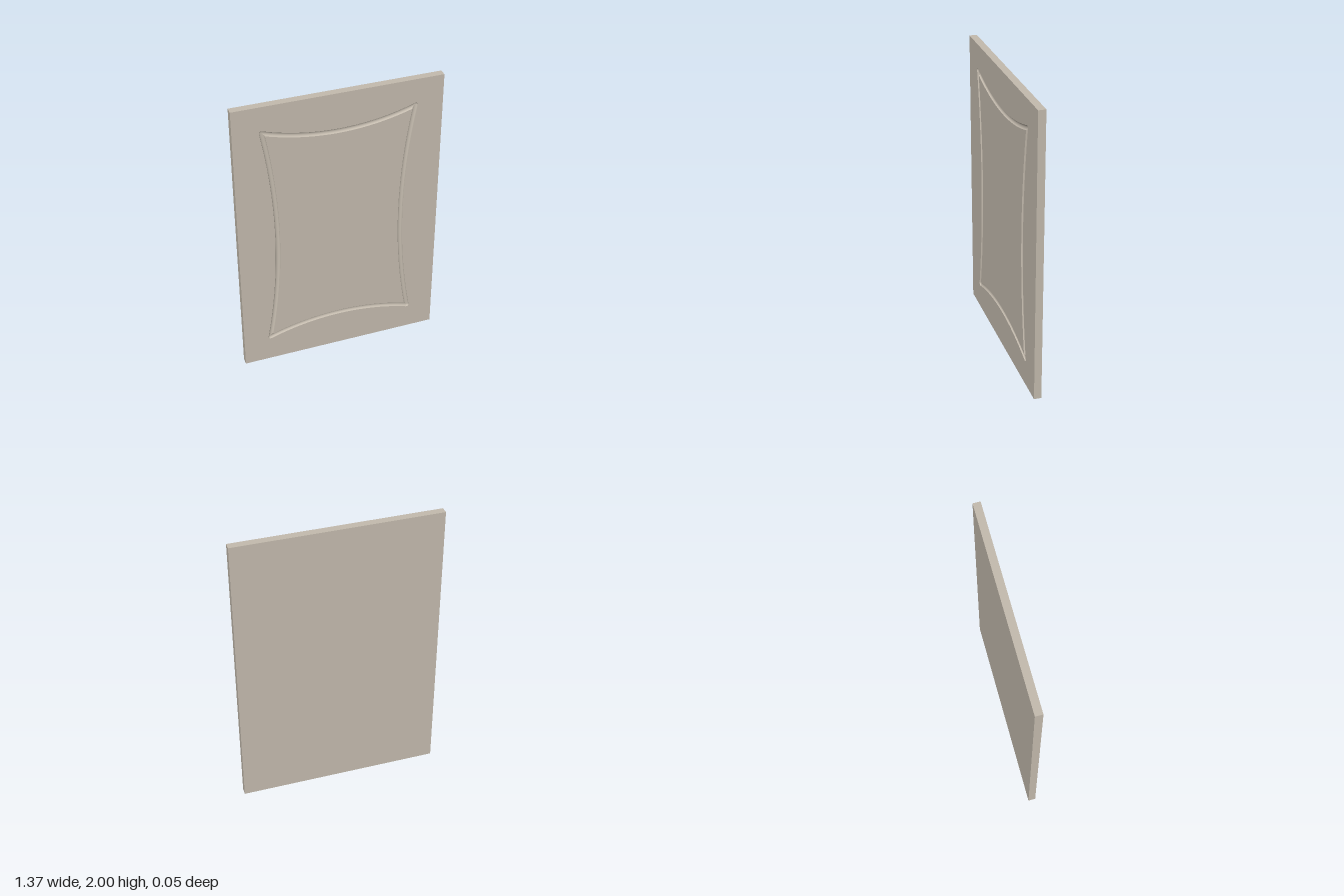
import * as THREE from 'three';

const HALF_W = 0.685, HEIGHT = 2, HALF_T = 0.025; // slab
const CENTRE_Y = 1.005;                           // middle of the groove outline
const CORNER = new THREE.Vector2(0.5, 0.813);     // groove centreline corner
const MID_X = 0.424, MID_Y = 0.731;               // groove centreline at mid sides
const GROOVE_R = 0.016, GROOVE_DEPTH = 0.011;

// Circle radius of an arc from its half chord and sagitta
const arcRadius = (half, sag) => (half * half + sag * sag) / (2 * sag);
const R_TOP = arcRadius(CORNER.x, CORNER.y - MID_Y);
const R_SIDE = arcRadius(CORNER.y, CORNER.x - MID_X);
const TOP = new THREE.Vector2(0, MID_Y + R_TOP);
const SIDE = new THREE.Vector2(MID_X + R_SIDE, 0);

// Where the two offset arcs meet
function mitre(r1, r2) {
  const u = SIDE.clone().sub(TOP), dist = u.length();
  u.divideScalar(dist);
  const h = (r1 * r1 - r2 * r2 + dist * dist) / (2 * dist);
  const k = Math.sqrt(r1 * r1 - h * h);
  return new THREE.Vector2(TOP.x + u.x * h + u.y * k, TOP.y + u.y * h - u.x * k);
}

// Quarter outline offset outward by d: top arc, corner (round outside, sharp inside), side arc
function quarter(d) {
  const r1 = R_TOP - d, r2 = R_SIDE - d, n = 24, joins = 8, pts = [];
  const m = d > 0 ? CORNER : mitre(r1, r2);
  const a = Math.atan2(m.x - TOP.x, TOP.y - m.y);
  const b = Math.atan2(m.y - SIDE.y, SIDE.x - m.x);
  for (let i = 0; i <= n; i++) {
    const t = a * i / n;
    pts.push(new THREE.Vector2(TOP.x + r1 * Math.sin(t), TOP.y - r1 * Math.cos(t)));
  }
  for (let i = 1; i < joins; i++) {
    const t = THREE.MathUtils.lerp(Math.PI / 2 + a, -b, i / joins), r = Math.max(d, 0);
    pts.push(new THREE.Vector2(m.x + r * Math.cos(t), m.y + r * Math.sin(t)));
  }
  for (let i = n; i >= 0; i--) {
    const t = b * i / n;
    pts.push(new THREE.Vector2(SIDE.x - r2 * Math.cos(t), SIDE.y + r2 * Math.sin(t)));
  }
  return pts;
}

// Full closed outline by mirroring the quarter
function outline(d) {
  const q = quarter(d);
  const part = (sx, sy) => {
    const p = q.map(v => new THREE.Vector2(v.x * sx, v.y * sy + CENTRE_Y));
    if (sx * sy < 0) p.reverse();
    return p.slice(0, -1);
  };
  return [...part(1, 1), ...part(1, -1), ...part(-1, -1), ...part(-1, 1)];
}

// Rounded channel: offset outlines lofted from the outer lip to the inner lip
function grooveGeometry() {
  const rows = 10, pos = [], index = [];
  let n = 0;
  for (let j = 0; j <= rows; j++) {
    const t = Math.PI * j / rows;
    const d = j * 2 === rows ? 0 : GROOVE_R * Math.cos(t);
    const loop = outline(d);
    n = loop.length;
    for (const p of loop) pos.push(p.x, p.y, HALF_T - GROOVE_DEPTH * Math.sin(t));
  }
  for (let j = 0; j < rows; j++) {
    for (let i = 0; i < n; i++) {
      const k = (i + 1) % n, a = j * n + i, b = j * n + k, c = a + n, e = b + n - 0;
      index.push(a, c, b, b, c, e);
    }
  }
  const g = new THREE.BufferGeometry();
  g.setAttribute('position', new THREE.Float32BufferAttribute(pos, 3));
  g.setIndex(index);
  g.computeVertexNormals();
  return g;
}

export function createModel() {
  const group = new THREE.Group();
  group.name = 'doorPanel';
  const material = new THREE.MeshStandardMaterial({ color: 0xc4bbae });
  const add = (name, geometry) => {
    const mesh = new THREE.Mesh(geometry, material);
    mesh.name = name;
    group.add(mesh);
    return mesh;
  };

  // Slab back and edges: a box without its front face
  const box = new THREE.BoxGeometry(HALF_W * 2, HEIGHT, HALF_T * 2);
  const faces = Array.from(box.index.array).filter((_, i) => i < 24 || i >= 30);
  box.clearGroups();
  box.setIndex(faces);
  add('slab', box).position.y = HEIGHT / 2;

  // Front surface around the groove
  const border = new THREE.Shape([
    new THREE.Vector2(-HALF_W, 0), new THREE.Vector2(HALF_W, 0),
    new THREE.Vector2(HALF_W, HEIGHT), new THREE.Vector2(-HALF_W, HEIGHT),
  ]);
  border.holes.push(new THREE.Path(outline(GROOVE_R)));
  add('frontBorder', new THREE.ShapeGeometry(border)).position.z = HALF_T;

  // Front surface inside the groove
  const field = new THREE.Shape(outline(-GROOVE_R));
  add('frontField', new THREE.ShapeGeometry(field)).position.z = HALF_T;

  // Carved decorative groove
  add('groove', grooveGeometry());

  return group;
}
